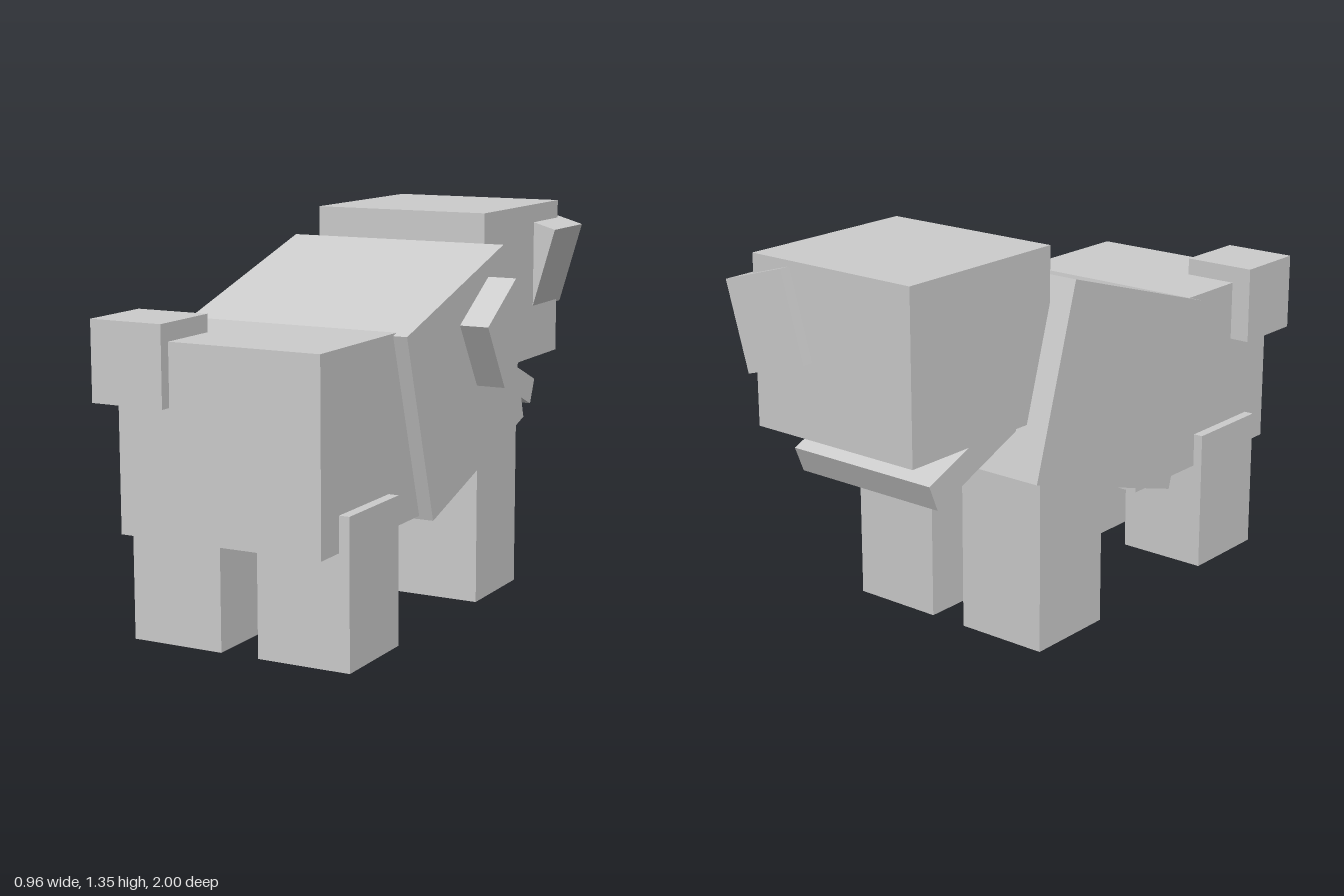
import * as THREE from 'three';

export function createModel() {
  const model = new THREE.Group();
  const grey = new THREE.MeshStandardMaterial({ color: 0xcccccc });
  grey.name = 'light grey';

  // Adds a box given its size, centre and optional tilt about x and z
  function addBox(name, size, centre, tiltX = 0, tiltZ = 0) {
    const mesh = new THREE.Mesh(new THREE.BoxGeometry(...size), grey);
    mesh.name = name;
    mesh.position.set(...centre);
    mesh.rotation.set(tiltX, 0, tiltZ);
    model.add(mesh);
  }

  // Body: level hindquarters and a tilted chest
  addBox('hindquarters', [0.735, 0.64, 0.805], [-0.042, 0.71, 0.557]);
  addBox('chest', [0.835, 0.674, 0.78], [-0.042, 0.814, 0.01], 0.297);

  // Head, with the open jaw hanging below it
  addBox('head', [0.665, 0.575, 0.67], [-0.042, 1.067, -0.625]);
  const jawTilt = -0.395;
  const jawLength = 0.6;
  addBox('jaw', [0.59, 0.097, jawLength], [
    -0.04,
    0.635 - Math.sin(jawTilt) * jawLength / 2,
    -0.822 + Math.cos(jawTilt) * jawLength / 2,
  ], jawTilt);

  // Small blocks set into the head, shoulder and rump
  addBox('cheekBlock', [0.258, 0.31, 0.268], [0.2075, 1.151, -0.866], 0, -0.285);
  addBox('shoulderBlock', [0.267, 0.267, 0.267], [0.346, 0.967, -0.098], 0.557);
  addBox('tail', [0.265, 0.27, 0.27], [-0.35, 0.955, 0.865]);

  // Legs
  for (const [side, x] of [['Right', -0.277], ['Left', 0.195]]) {
    addBox('hind' + side + 'Leg', [0.334, 0.505, 0.334], [x, 0.2575, 0.678]);
    addBox('fore' + side + 'Leg', [0.334, 0.66, 0.334], [x, 0.33, -0.258]);
  }

  return model;
}
